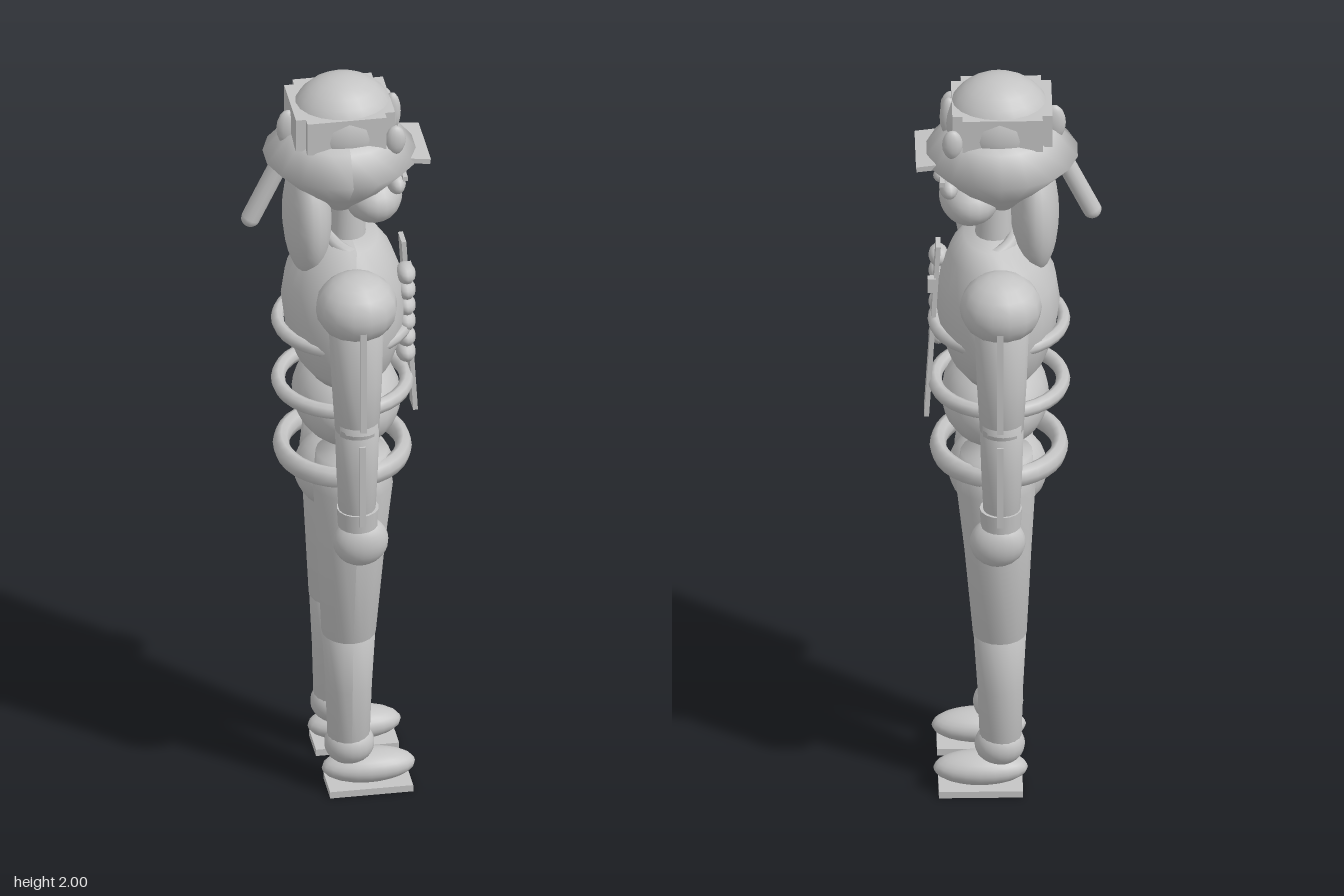
import * as THREE from 'three';

const material = new THREE.MeshStandardMaterial({ color: 0xc4c4c4, side: THREE.DoubleSide });
material.name = 'plainGrey';

export function createModel() {
  const model = new THREE.Group();
  model.name = 'uniformedFigure';

  const add = (name, geometry, x = 0, y = 0, z = 0) => {
    const mesh = new THREE.Mesh(geometry, material);
    mesh.name = name;
    mesh.position.set(x, y, z);
    model.add(mesh);
    return mesh;
  };
  const ball = (name, x, y, z, rx, ry, rz, w = 20, h = 14) =>
    add(name, new THREE.SphereGeometry(1, w, h).scale(rx, ry, rz), x, y, z);
  const box = (name, x, y, z, sx, sy, sz) => add(name, new THREE.BoxGeometry(sx, sy, sz), x, y, z);
  // Ring lying flat around the body, with outer radii rx and rz
  const ring = (name, x, y, rx, rz, tube, tall = 1) =>
    add(name, new THREE.TorusGeometry(1 - tube, tube, 8, 32).rotateX(Math.PI / 2).scale(rx, tall, rz), x, y, 0);
  // Capped loft through elliptical rings [y, centre x, centre z, rx, rz]
  const loft = (name, rings, n = 18) => {
    const pos = [], index = [];
    const all = [rings[0].map((v, i) => (i > 2 ? 0 : v)), ...rings, rings[rings.length - 1].map((v, i) => (i > 2 ? 0 : v))];
    all.forEach(([y, cx, cz, rx, rz], j) => {
      for (let i = 0; i <= n; i++) {
        const a = (i / n) * Math.PI * 2;
        pos.push(cx + rx * Math.sin(a), y, cz + rz * Math.cos(a));
        if (j && i < n) {
          const b = j * (n + 1) + i, c = b - n - 1;
          index.push(c, c + 1, b, c + 1, b + 1, b);
        }
      }
    });
    const g = new THREE.BufferGeometry();
    g.setAttribute('position', new THREE.Float32BufferAttribute(pos, 3));
    g.setIndex(index);
    g.computeVertexNormals();
    return add(name, g);
  };

  // Torso and pelvis
  loft('chest', [
    [1.17, 0.025, 0, 0.09, 0.14], [1.21, 0.025, 0, 0.12, 0.175], [1.28, 0.025, 0, 0.145, 0.195],
    [1.36, 0.025, 0, 0.155, 0.2], [1.43, 0.025, 0, 0.145, 0.19], [1.5, 0.03, 0, 0.115, 0.16],
    [1.55, 0.04, 0, 0.07, 0.11],
  ], 24);
  ball('abdomen', 0.032, 1.085, 0, 0.135, 0.12, 0.183);
  ball('pelvis', 0.025, 0.87, 0, 0.125, 0.11, 0.12);
  ring('chestBand', 0.022, 1.3, 0.178, 0.185, 0.09, 0.2);
  ring('waistBand', 0.022, 1.125, 0.178, 0.186, 0.1, 0.2);
  ring('belt', 0.022, 0.935, 0.173, 0.192, 0.12, 0.24);
  const collar = ring('collar', 0.045, 1.53, 0.08, 0.115, 0.2, 0.09);
  collar.rotation.z = -0.3;
  add('neck', new THREE.CylinderGeometry(0.04, 0.05, 0.2, 16), 0.035, 1.58, 0);

  // Chest ornaments
  const tie = box('frontStrap', 0.188, 1.275, 0.002, 0.012, 0.49, 0.052);
  tie.rotation.z = 0.06;
  for (let i = 0; i < 6; i++) ball('braidKnot', 0.172, 1.225 + i * 0.045, 0.06, 0.025, 0.026, 0.038, 12, 8);
  box('chestClasp', 0.19, 1.41, -0.018, 0.02, 0.04, 0.02);

  for (const s of [1, -1]) {
    // Legs and shoes
    loft('thigh', [
      [0.45, 0.022, s * 0.094, 0.068, 0.072], [0.7, 0.027, s * 0.097, 0.085, 0.085],
      [0.88, 0.032, s * 0.098, 0.1, 0.095], [0.97, 0.03, s * 0.09, 0.09, 0.085],
    ]);
    loft('shin', [[0.12, 0.02, s * 0.103, 0.052, 0.05], [0.3, 0.021, s * 0.1, 0.058, 0.06], [0.455, 0.022, s * 0.094, 0.067, 0.071]]);
    ball('ankleCuff', 0.022, 0.13, s * 0.103, 0.063, 0.055, 0.058);
    ball('shoe', 0.07, 0.062, s * 0.105, 0.118, 0.042, 0.056);
    box('sole', 0.07, 0.01, s * 0.105, 0.21, 0.018, 0.1);

    // Arms
    ball('shoulder', 0.022, 1.455, s * 0.21, 0.103, 0.09, 0.1, 14, 10);
    loft('upperArm', [[1.11, 0.02, s * 0.23, 0.055, 0.055], [1.25, 0.02, s * 0.225, 0.063, 0.062], [1.43, 0.02, s * 0.215, 0.07, 0.068]]);
    loft('forearm', [[0.85, 0.02, s * 0.228, 0.045, 0.045], [1.0, 0.02, s * 0.23, 0.052, 0.05], [1.14, 0.02, s * 0.23, 0.056, 0.056]]);
    add('wristCuff', new THREE.CylinderGeometry(0.053, 0.05, 0.05, 16), 0.022, 0.86, s * 0.228);
    ball('hand', 0.03, 0.785, s * 0.225, 0.07, 0.067, 0.05);
    box('upperSleeveStripe', 0.025, 1.285, s * 0.298, 0.016, 0.29, 0.008);
    box('lowerSleeveStripe', 0.025, 0.975, s * 0.284, 0.016, 0.23, 0.008);
  }

  // Head and face
  ball('skull', 0.025, 1.77, 0, 0.125, 0.13, 0.118);
  ball('jaw', 0.095, 1.66, 0, 0.077, 0.07, 0.105);
  for (const s of [1, -1]) ball('eye', 0.148, 1.715, s * 0.05, 0.025, 0.03, 0.05, 14, 10);
  ball('nose', 0.17, 1.715, 0, 0.016, 0.018, 0.014, 10, 8);
  box('mouth', 0.16, 1.69, 0, 0.012, 0.012, 0.08);
  box('brow', 0.165, 1.745, 0, 0.012, 0.012, 0.2);

  // Hair behind the head and its hanging tail
  ball('backHair', -0.068, 1.61, 0, 0.06, 0.165, 0.112);
  const tail = add('hairTail', new THREE.CapsuleGeometry(0.024, 0.16, 6, 12), -0.175, 1.685, 0);
  tail.rotation.z = -0.45;

  // Cap: flared brim, dome, crown panels and visor
  loft('brim', [
    [1.63, 0.02, 0, 0.035, 0.035], [1.7, 0.02, 0, 0.115, 0.11], [1.785, 0.018, 0, 0.195, 0.195],
    [1.85, 0.02, 0, 0.14, 0.14], [1.87, 0.02, 0, 0.1, 0.1],
  ], 18);
  ball('capDome', 0.022, 1.875, 0, 0.135, 0.125, 0.122);
  box('crownSides', 0.015, 1.89, 0, 0.2, 0.09, 0.224);
  box('crownFrontAndBack', 0.015, 1.89, 0, 0.25, 0.09, 0.176);
  const visor = box('visor', 0.205, 1.787, 0, 0.05, 0.014, 0.18);
  visor.rotation.z = -0.12;

  // Tufts around the crown
  ball('backTuft', -0.115, 1.865, 0, 0.03, 0.05, 0.018, 12, 8);
  ball('frontTuft', 0.148, 1.885, 0, 0.022, 0.055, 0.018, 12, 8);
  for (const s of [1, -1]) ball('sideTuft', 0.14, 1.86, s * 0.097, 0.026, 0.04, 0.018, 12, 8);

  return model;
}
